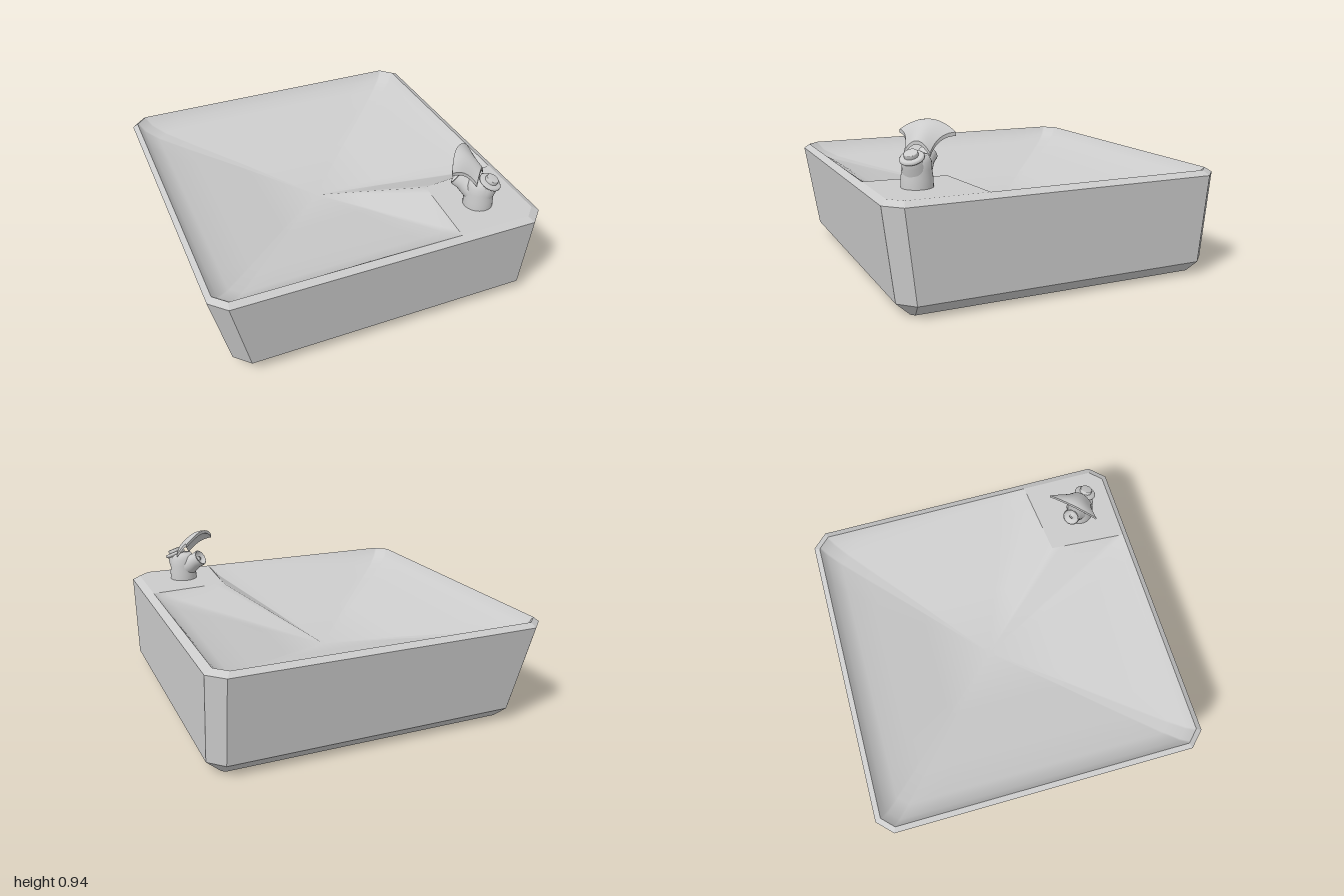
import * as THREE from 'three';
import { mergeVertices } from 'three/addons/utils/BufferGeometryUtils.js';

const grey = new THREE.MeshStandardMaterial({ color: 0xcccccc });
const flatGrey = new THREE.MeshStandardMaterial({ color: 0xcccccc, flatShading: true });
const thinGrey = new THREE.MeshStandardMaterial({ color: 0xcccccc, side: THREE.DoubleSide });

function mesh(name, geometry, material = grey) {
  const m = new THREE.Mesh(geometry, material);
  m.name = name;
  return m;
}

// Skin between closed rings of [x, y, z] points, counter-clockwise from above
function loft(rings, smooth) {
  const n = rings[0].length, index = [];
  for (let k = 0; k < rings.length - 1; k++) {
    for (let i = 0; i < n; i++) {
      const j = (i + 1) % n, a = k * n, b = a + n;
      index.push(a + i, a + j, b + j, a + i, b + j, b + i);
    }
  }
  let g = new THREE.BufferGeometry();
  g.setAttribute('position', new THREE.Float32BufferAttribute(rings.flat(2), 3));
  g.setIndex(index);
  g = smooth ? mergeVertices(g) : g.toNonIndexed();
  g.computeVertexNormals();
  return g;
}

// Rectangle with cut corners
function octagon(x0, x1, z0, z1, c, y) {
  return [
    [x1, z1 - c], [x1, z0 + c], [x1 - c, z0], [x0 + c, z0],
    [x0, z0 + c], [x0, z1 - c], [x0 + c, z1], [x1 - c, z1],
  ].map(([x, z]) => [x, y, z]);
}

const RIM = 0.605, DRAIN = [0, 0.3, -0.07];

// Outer shell: closed underside, bevelled foot, leaning walls, bevelled rim
function makeShell() {
  const foot = octagon(-0.79, 0.92, -0.86, 0.86, 0.02, 0);
  return loft([
    foot.map(() => [0.06, 0, 0]),
    foot,
    octagon(-0.88, 1, -0.94, 0.94, 0.085, 0.075),
    octagon(-1, 1, -1, 1, 0.09, 0.58),
    octagon(-0.97, 0.955, -0.965, 0.965, 0.07, RIM),
  ], false);
}

// Bowl falling from the rim to the drain; third value is the lip steepness
function makeBowl() {
  const corners = [
    [0.955, 0.44, 0.3], [0.955, -0.895, 1], [0.885, -0.965, 1], [-0.9, -0.965, 1], [-0.97, -0.895, 1],
    [-0.97, 0.895, 1], [-0.9, 0.965, 1], [0.45, 0.965, 0.3], [0.48, 0.49, 0],
  ];
  const outline = [];
  corners.forEach((p, i) => {
    const q = corners[(i + 1) % corners.length];
    for (let t = 0; t < 1; t += 0.125) outline.push(p.map((v, k) => v + (q[k] - v) * t));
  });
  const profile = [[0, 0], [0.04, 0.04], [0.12, 0.055], [0.3, 0.045], [0.6, 0.02], [1, 0]];
  return loft(profile.map(([s, drop]) => outline.map(([x, z, lip]) => [
    x + (DRAIN[0] - x) * s,
    RIM + (DRAIN[1] - RIM) * s - lip * drop,
    z + (DRAIN[2] - z) * s,
  ])), true);
}

// Flat corner deck carrying the spout
function makeDeck() {
  const edge = [[0.885, 0.965], [0.955, 0.895], [0.955, 0.44], [0.48, 0.49], [0.45, 0.965]]
    .map(([x, z]) => [x, RIM, z]);
  return loft([edge, edge.map(() => [0.7, RIM, 0.7])], false);
}

// Turned part standing at "from", its axis pointing along "direction"
function turned(name, profile, from, direction) {
  const m = mesh(name, new THREE.LatheGeometry(profile.map(p => new THREE.Vector2(...p)), 32), thinGrey);
  m.position.set(...from);
  m.quaternion.setFromUnitVectors(new THREE.Vector3(0, 1, 0), new THREE.Vector3(...direction).normalize());
  return m;
}

// Arched fan-shaped guard: a box bent by rule, widening and rising forwards
function makeGuard() {
  const g = new THREE.BoxGeometry(2, 1, 1, 16, 1, 10);
  const p = g.attributes.position;
  for (let i = 0; i < p.count; i++) {
    const v = p.getX(i), u = p.getZ(i) + 0.5, arch = 1 - v * v;
    p.setXYZ(i,
      v * (0.075 + 0.088 * u * u),
      0.185 + 0.095 * Math.sin(u * Math.PI / 2) + 0.06 * arch + 0.02 * (p.getY(i) - 0.5),
      0.005 + 0.13 * u + 0.025 * arch * u);
  }
  g.computeVertexNormals();
  return g;
}

function makeSpout() {
  const spout = new THREE.Group();
  spout.name = 'spout';
  spout.add(turned('spoutBody',
    [[0.086, 0], [0.086, 0.05], [0.079, 0.1], [0.078, 0.14], [0.06, 0.175], [0, 0.18]], [0, 0, 0], [0, 1, 0]));
  // Nozzle with a recessed mouth
  spout.add(turned('nozzle',
    [[0.07, 0], [0.058, 0.06], [0.05, 0.1], [0.053, 0.14], [0.045, 0.145], [0.035, 0.12], [0.012, 0.12], [0.012, 0.135], [0, 0.135]],
    [0, 0.08, 0.02], [0, 0.55, 0.85]));
  // Push button on a tilted collar
  const lean = [0, 0.9, -0.4];
  spout.add(turned('buttonNeck', [[0.07, 0], [0.062, 0.07], [0.052, 0.1]], [0, 0.07, -0.01], lean));
  spout.add(turned('buttonCollar',
    [[0, 0], [0.056, 0], [0.066, 0.008], [0.066, 0.016], [0.058, 0.024], [0, 0.026]], [0, 0.155, -0.05], lean));
  spout.add(turned('button',
    [[0.038, 0], [0.038, 0.018], [0.034, 0.022], [0, 0.022]], [0, 0.177, -0.06], lean));
  spout.add(mesh('mouthGuard', makeGuard()));
  // Aim across the bowl
  spout.position.set(0.687, RIM - 0.005, 0.737);
  spout.rotation.y = -Math.PI * 0.75;
  return spout;
}

export function createModel() {
  const model = new THREE.Group();
  model.name = 'drinkingFountain';
  model.add(
    mesh('shell', makeShell(), flatGrey),
    mesh('bowl', makeBowl()),
    mesh('cornerDeck', makeDeck(), flatGrey),
    makeSpout(),
  );
  return model;
}
